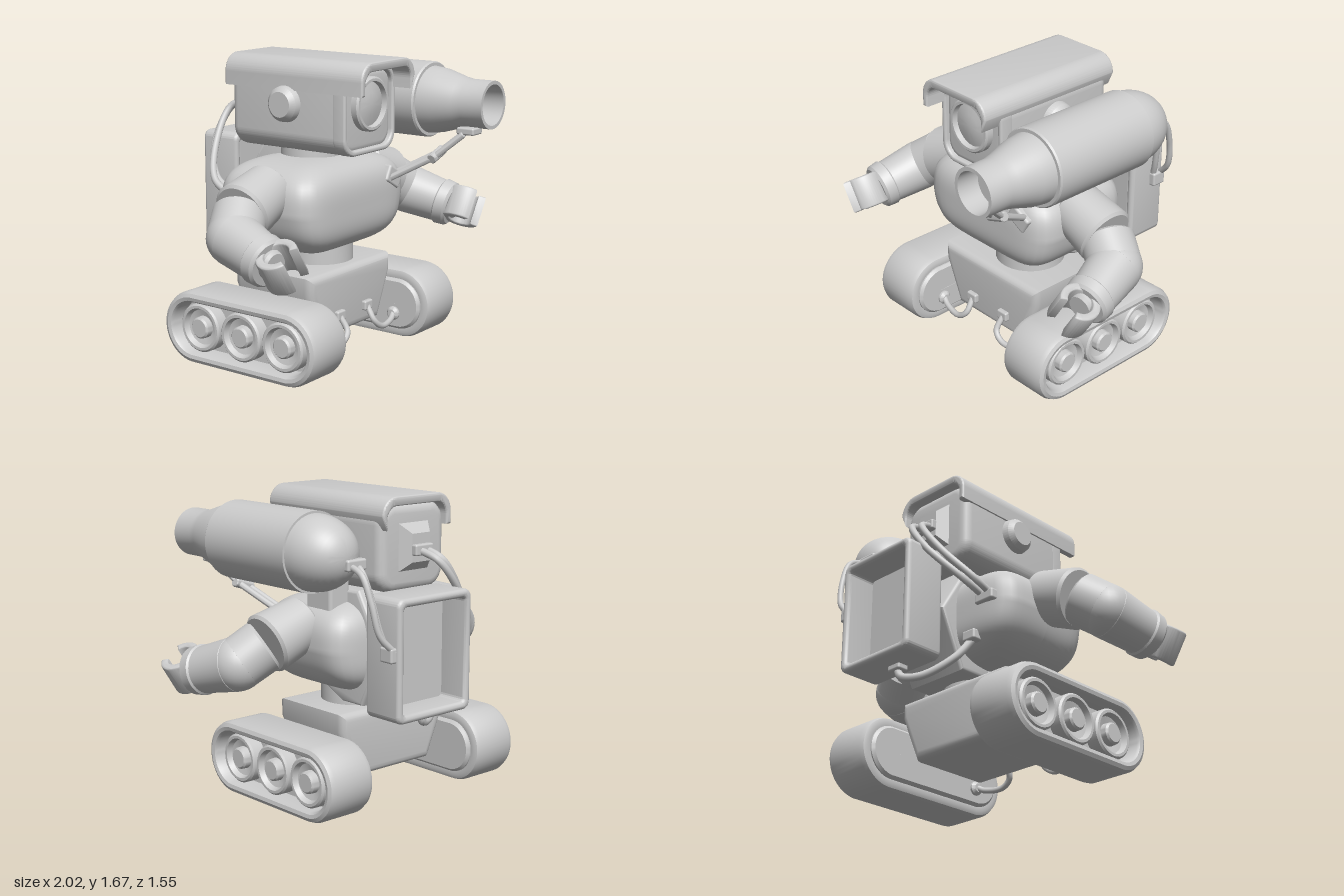
import * as THREE from 'three';
import { toCreasedNormals } from 'three/addons/utils/BufferGeometryUtils.js';
import { RoundedBoxGeometry } from 'three/addons/geometries/RoundedBoxGeometry.js';

const mat = new THREE.MeshStandardMaterial({ color: 0xcccccc, side: THREE.DoubleSide });
const V = (x, y, z) => new THREE.Vector3(x, y, z);

export function createModel() {
  const model = new THREE.Group();

  function add(name, geo, x = 0, y = 0, z = 0) {
    const m = new THREE.Mesh(geo, mat);
    m.name = name;
    m.position.set(x, y, z);
    model.add(m);
    return m;
  }
  const box = (name, w, h, d, x, y, z, r = 0.02) => add(name, new RoundedBoxGeometry(w, h, d, 3, r), x, y, z);

  // Bevelled extrusion, centred on its depth; 'x' lays it across the model (shape x becomes -z)
  function slab(shape, depth, bevel, axis = 'z') {
    const g = new THREE.ExtrudeGeometry(shape, {
      depth: depth - 2 * bevel, bevelThickness: bevel, bevelSize: bevel, bevelOffset: -bevel,
      bevelSegments: 4, curveSegments: 20,
    });
    g.translate(0, 0, bevel - depth / 2);
    if (axis === 'x') g.rotateY(Math.PI / 2);
    return toCreasedNormals(g, 0.6);
  }
  const polygon = (pts) => new THREE.Shape(pts.map((p) => new THREE.Vector2(...p)));

  function roundRect(w, h, r) {
    const s = new THREE.Shape(), a = w / 2 - r, b = h / 2 - r, q = Math.PI / 2;
    s.absarc(a, b, r, 0, q);
    s.absarc(-a, b, r, q, 2 * q);
    s.absarc(-a, -b, r, 2 * q, 3 * q);
    s.absarc(a, -b, r, 3 * q, 4 * q);
    s.closePath();
    return s;
  }

  // Turned part: profile of [radius, height] laid from a towards b
  const lathe = (pts, seg, start = 0) => new THREE.LatheGeometry(pts.map((p) => new THREE.Vector2(...p)), seg, start);
  function turned(name, pts, a, b, seg = 40) {
    const m = add(name, toCreasedNormals(lathe(pts, seg), 0.6), a.x, a.y, a.z);
    m.quaternion.setFromUnitVectors(V(0, 1, 0), b.clone().sub(a).normalize());
    return m;
  }
  function limb(name, a, b, r0, r1, e = 0.015) {
    const l = a.distanceTo(b);
    return turned(name, [[0, 0], [r0 - e, 0], [r0, e], [r1, l - e], [r1 - e, l], [0, l]], a, b);
  }
  // Track form: a turned profile lying along x, its two halves pulled apart in z
  function stadium(name, pts, side) {
    const g = lathe(pts, 48, Math.PI / 48).rotateZ(-side * Math.PI / 2);
    const p = g.attributes.position;
    for (let i = 0; i < p.count; i++) p.setZ(i, p.getZ(i) + Math.sign(p.getZ(i)) * 0.322);
    return add(name, toCreasedNormals(g, 0.6), 0, 0.205, -0.062);
  }
  const hose = (name, r, pts) =>
    add(name, new THREE.TubeGeometry(new THREE.CatmullRomCurve3(pts), 40, r, 10));

  // Tracks, wheels and front hoses
  for (const s of [1, -1]) {
    stadium('track', [[0.15, 0.395], [0.175, 0.392], [0.195, 0.4], [0.205, 0.425], [0.205, 0.655], [0.195, 0.68],
      [0.175, 0.69], [0.155, 0.685], [0.145, 0.67], [0.14, 0.58], [0.001, 0.58]], s);
    stadium('trackInnerCover', [[0.001, 0.372], [0.135, 0.372], [0.15, 0.387], [0.15, 0.42]], s);
    for (const z of [0.225, -0.062, -0.35]) {
      turned('wheel', [[0.137, 0], [0.137, 0.075], [0.127, 0.085], [0.112, 0.085], [0.1, 0.055],
        [0.062, 0.045], [0.06, 0.08], [0.05, 0.09], [0, 0.09]], V(s * 0.575, 0.205, z), V(s, 0.205, z));
    }
    box('hosePlug', 0.075, 0.055, 0.05, s * 0.13, 0.255, 0.21, 0.01);
    hose('frontHose', 0.017, [V(s * 0.13, 0.25, 0.22), V(s * 0.13, 0.17, 0.27), V(s * 0.19, 0.125, 0.28),
      V(s * 0.31, 0.13, 0.26), V(s * 0.37, 0.16, 0.24)]);
    limb('hoseSocket', V(s * 0.345, 0.15, 0.24), V(s * 0.41, 0.15, 0.24), 0.04, 0.04);
  }

  // Hips and waist
  add('hips', slab(polygon([[-0.27, 0.145], [0.27, 0.145], [0.385, 0.41], [0.385, 0.51], [-0.385, 0.51],
    [-0.385, 0.41]]), 0.54, 0.045), 0, 0, -0.06);
  limb('waist', V(0.05, 0.48, -0.065), V(0.05, 0.68, -0.065), 0.197, 0.197);

  // Torso: a sphere pushed out to a rounded barrel, boxy in plan and narrower below
  const torso = new THREE.SphereGeometry(1, 72, 56);
  const p = torso.attributes.position;
  for (let i = 0; i < p.count; i++) {
    const x = p.getX(i), y = p.getY(i), z = p.getZ(i);
    const h = Math.pow(Math.abs(x) ** 6 + Math.abs(z) ** 6, 1 / 6);
    const k = 1 / Math.pow(h ** 3.3 + Math.abs(y) ** 3.3, 1 / 3.3);
    p.setXYZ(i, x * k * 0.485 * (1 + 0.12 * Math.min(0, y * k)), y * k * 0.262, z * k * 0.342);
  }
  torso.computeVertexNormals();
  add('torso', torso, 0, 0.862, -0.065);
  add('backBracket', slab(polygon([[0.06, 0.62], [0.2, 0.55], [0.36, 0.55], [0.51, 0.87], [0.33, 1.175],
    [0.06, 1.165]]), 0.4, 0.02, 'x'), 0.08, 0, 0);

  // Head with hood, face and ears
  limb('neck', V(0, 1.05, -0.08), V(0, 1.2, -0.08), 0.17, 0.17);
  add('head', slab(roundRect(0.48, 0.47, 0.11), 0.76, 0.05), 0, 1.395, -0.08);
  const rim = roundRect(0.48, 0.47, 0.1);
  rim.holes.push(roundRect(0.42, 0.41, 0.08));
  add('faceRim', slab(rim, 0.08, 0.012), 0, 1.395, 0.285);
  turned('lens', [[0.15, 0], [0.15, 0.05], [0.14, 0.06], [0.125, 0.06], [0.12, 0.03], [0.06, 0.045], [0, 0.05]],
    V(0, 1.43, 0.285), V(0, 1.43, 1));
  const hood = new THREE.Shape();
  hood.moveTo(0.25, 1.5);
  hood.absarc(0.15, 1.575, 0.1, 0, Math.PI / 2);
  hood.absarc(-0.15, 1.575, 0.1, Math.PI / 2, Math.PI);
  hood.lineTo(-0.25, 1.5);
  hood.lineTo(-0.215, 1.5);
  hood.absarc(-0.145, 1.555, 0.07, Math.PI, Math.PI / 2, true);
  hood.absarc(0.145, 1.555, 0.07, Math.PI / 2, 0, true);
  hood.lineTo(0.215, 1.5);
  hood.closePath();
  add('hood', slab(hood, 0.94, 0.012), 0, 0, -0.025);
  for (const s of [1, -1]) limb('ear', V(s * 0.2, 1.425, -0.07), V(s * 0.3, 1.425, -0.07), 0.105, 0.095, 0.025);
  const socket = add('headSocket', toCreasedNormals(
    new THREE.CylinderGeometry(0.09, 0.16, 0.07, 4, 1).rotateY(Math.PI / 4).rotateX(-Math.PI / 2), 0.5), 0, 1.4, -0.485);
  socket.scale.y = 1.2;
  box('socketPlug', 0.13, 0.06, 0.06, 0, 1.39, -0.52, 0.01);

  // Shoulder-mounted tube: hollow muzzle, taper, barrel and domed rear
  const dome = [];
  for (let i = 0; i <= 12; i++) {
    const a = (i / 12) * Math.PI / 2;
    dome.push([0.203 * Math.sin(a) ** 0.9, 0.25 - 0.25 * Math.cos(a)]);
  }
  turned('cannon', [...dome, [0.215, 0.25], [0.215, 0.91], [0.208, 0.92], [0.19, 0.92], [0.18, 1.0], [0.145, 1.12],
    [0.135, 1.17], [0.135, 1.31], [0.115, 1.31], [0.112, 1.18], [0, 1.18]], V(0.533, 1.4, -0.535), V(0.533, 1.4, 1), 56);
  box('cannonMount', 0.14, 0.18, 0.2, 0.33, 1.14, -0.15);

  // Linkage between muzzle and chest
  const clamp = V(0.465, 1.25, 0.65), knee = V(0.4, 1.115, 0.5), chest = V(0.31, 0.98, 0.26);
  box('muzzleClamp', 0.1, 0.04, 0.11, 0.475, 1.255, 0.66, 0.01);
  limb('linkPivot', V(0.34, 1.095, 0.5), V(0.46, 1.135, 0.5), 0.028, 0.028, 0.005);
  for (const o of [-0.035, 0.035]) {
    const shift = V(o, o * 0.35, 0);
    limb('upperLink', clamp.clone().add(shift), knee.clone().add(shift), 0.018, 0.018, 0.005);
    limb('lowerLink', knee.clone().add(shift), chest.clone().add(shift), 0.018, 0.018, 0.005);
  }
  box('chestBracket', 0.14, 0.1, 0.08, 0.31, 0.975, 0.24, 0.015).rotation.z = -0.5;

  // Arms with open claws
  for (const s of [1, -1]) {
    const shoulder = V(s * 0.41, 0.985, -0.045), sleeve = V(s * 0.67, 0.895, -0.035);
    const elbow = V(s * 0.8, 0.8, 0.03), wrist = V(s * 0.86, 0.73, 0.28);
    limb('shoulderSleeve', shoulder, sleeve, 0.15, 0.167);
    limb('upperArm', sleeve, elbow, 0.147, 0.145);
    add('elbow', new THREE.SphereGeometry(0.146, 32, 20), elbow.x, elbow.y, elbow.z);
    limb('forearm', elbow, wrist, 0.147, 0.127);
    limb('wristCuff', wrist.clone().lerp(elbow, 0.15), V(s * 0.865, 0.72, 0.325), 0.138, 0.132);
    limb('wristJoint', wrist, V(s * 0.868, 0.718, 0.36), 0.08, 0.08);
    const claw = new THREE.Shape();
    claw.absarc(0, 0, 0.112, -1.0, Math.PI + 1.0);
    claw.absarc(0, 0, 0.068, Math.PI + 1.0, -1.0, true);
    claw.closePath();
    const g = slab(claw, 0.19, 0.012);
    g.rotateX(-Math.PI / 2);
    add('claw', g, s * 0.868, 0.72, 0.4).rotation.z = -s * 0.56;
  }

  // Backpack with a deep recess in the rear
  const frame = roundRect(0.53, 0.65, 0.045);
  frame.holes.push(roundRect(0.44, 0.56, 0.02));
  add('backpackShell', slab(frame, 0.25, 0.022), 0.135, 0.875, -0.647);
  box('backpackCore', 0.48, 0.6, 0.07, 0.135, 0.875, -0.563);

  // Hoses: head to torso, cannon to backpack, backpack to torso
  for (const o of [0, 0.05]) {
    hose('headHose', 0.02, [V(-0.03 + o, 1.39, -0.52), V(-0.06 + o, 1.34, -0.62 - o / 2), V(-0.2 + o, 1.15, -0.61 - o),
      V(-0.34 + o, 0.97, -0.5 - o / 2), V(-0.36 + o, 0.9, -0.37)]);
    hose('cannonHose', 0.017, [V(0.46 + o, 1.36, -0.52), V(0.47 + o, 1.32, -0.58 - o), V(0.46 + o, 1.18, -0.64 - o),
      V(0.43 + o, 1.02, -0.67 - o), V(0.4, 0.93, -0.69 - o)]);
  }
  box('headHosePlug', 0.13, 0.06, 0.07, -0.335, 0.89, -0.39, 0.012);
  box('cannonHosePlug', 0.13, 0.06, 0.06, 0.48, 1.36, -0.525, 0.012);
  box('backpackSidePlug', 0.06, 0.08, 0.09, 0.405, 0.915, -0.71, 0.012);
  hose('lowerHose', 0.022, [V(0.1, 0.57, -0.62), V(0.08, 0.49, -0.62), V(-0.02, 0.475, -0.57), V(-0.16, 0.57, -0.46),
    V(-0.22, 0.7, -0.37)]);
  box('lowerHosePlug', 0.09, 0.05, 0.07, 0.1, 0.545, -0.62, 0.012);
  box('torsoHosePlug', 0.09, 0.06, 0.07, -0.22, 0.7, -0.385, 0.012);
  return model;
}
